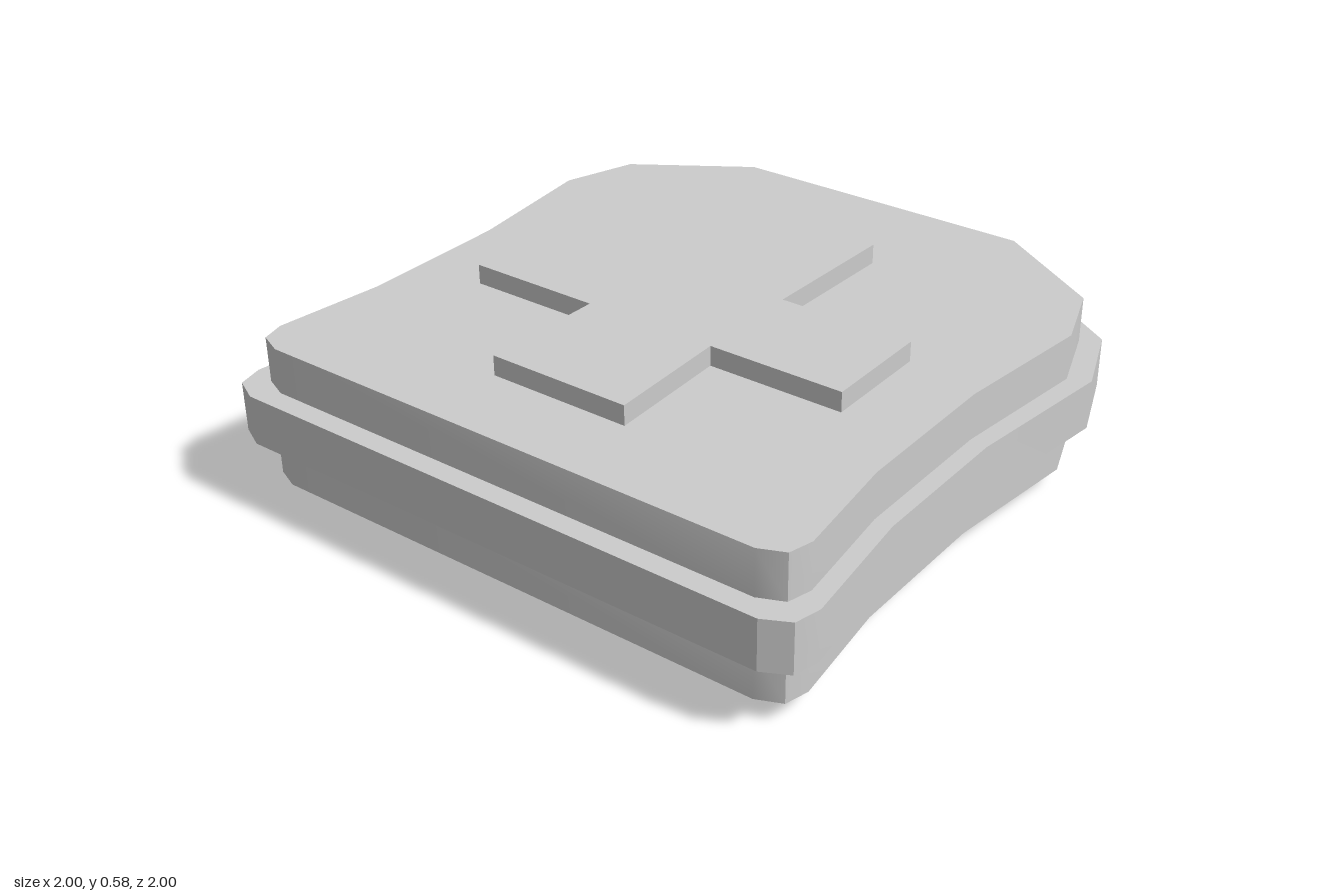
import * as THREE from 'three';
import { toCreasedNormals } from 'three/addons/utils/BufferGeometryUtils.js';

// Right halves of the outlines as [x, z], from back to front
const rimHalf = [[0.53, -1], [0.91, -0.75], [1, -0.5], [0.935, 0], [0.932, 0.48], [0.98, 0.88], [0.96, 0.96], [0.88, 1]];
const plateHalf = [[0.5, -0.935], [0.857, -0.703], [0.935, -0.47], [0.88, -0.01], [0.878, 0.48], [0.92, 0.83], [0.9, 0.903], [0.825, 0.935]];
const crossHalf = [[0.228, -0.535], [0.215, -0.065], [0.645, -0.065], [0.645, 0.285], [0.215, 0.285], [0.228, 0.68]];

export function createModel() {
  const group = new THREE.Group();
  const material = new THREE.MeshStandardMaterial({ color: 0xcccccc });

  // Mirrors a half outline and extrudes it upward between two heights
  function slab(name, half, bottom, top) {
    const mirrored = half.map(([x, z]) => [-x, z]).reverse();
    const shape = new THREE.Shape([...half, ...mirrored].map(([x, z]) => new THREE.Vector2(x, -z)));
    const geometry = new THREE.ExtrudeGeometry(shape, { depth: top - bottom, bevelEnabled: false });
    geometry.rotateX(-Math.PI / 2).translate(0, bottom, 0);
    const mesh = new THREE.Mesh(toCreasedNormals(geometry, 0.45), material);
    mesh.name = name;
    group.add(mesh);
  }

  // Stacked body: wide rim between two narrower plates
  slab('lowerPlate', plateHalf, 0.065, 0.22);
  slab('middleRim', rimHalf, 0.217, 0.373);
  slab('upperPlate', plateHalf, 0.37, 0.515);

  // Raised crosses on both faces
  slab('lowerCross', crossHalf, 0, 0.068);
  slab('upperCross', crossHalf, 0.512, 0.577);

  return group;
}
